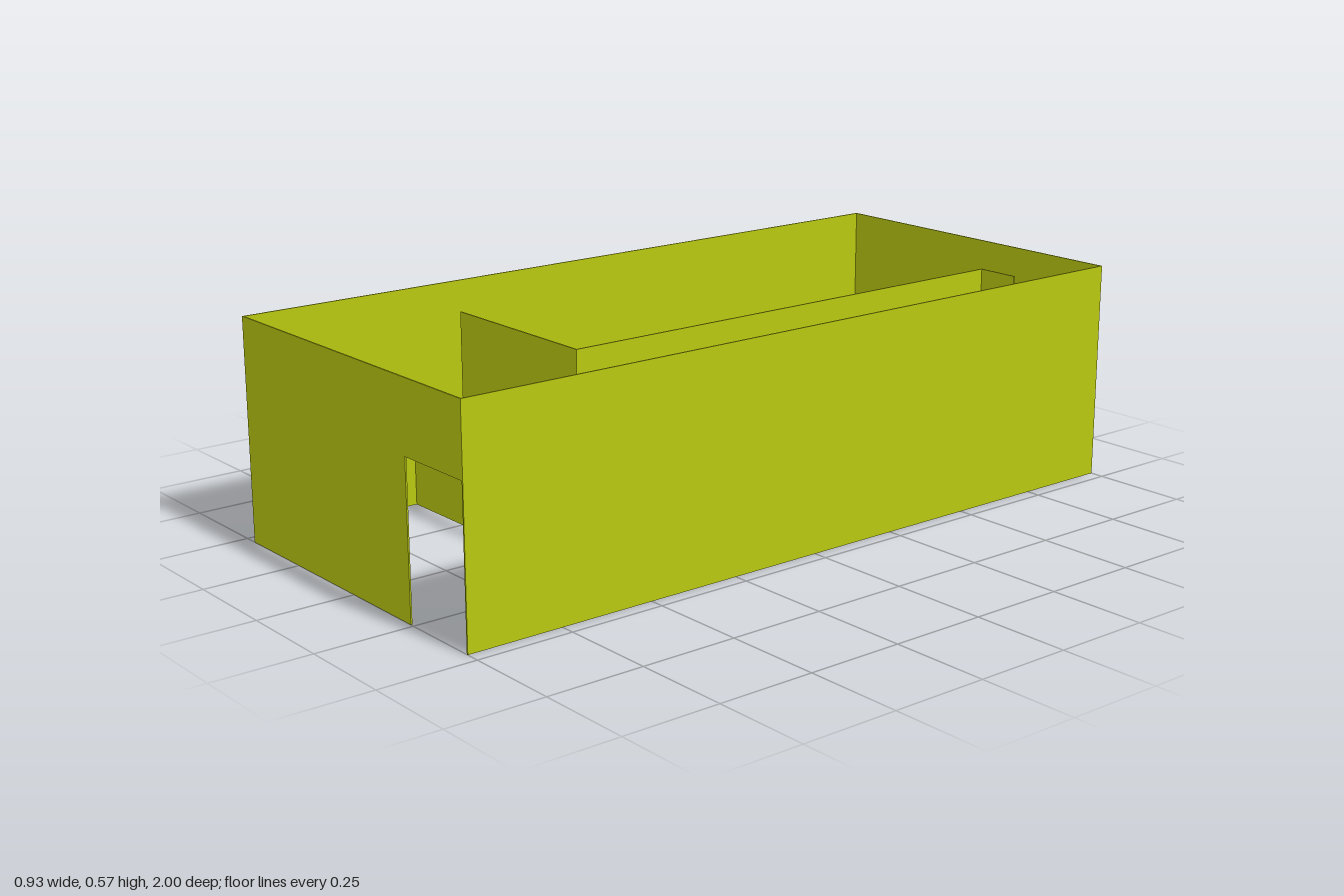
import * as THREE from 'three';

const T = 0.004;              // wall thickness
const W = 0.464;              // outer half width
const H = 0.567;              // outer wall height
const material = new THREE.MeshStandardMaterial({ color: 0xb9c810 });

export function createModel() {
  const group = new THREE.Group();

  const add = (name, geometry) => {
    const mesh = new THREE.Mesh(geometry, material);
    mesh.name = name;
    group.add(mesh);
    return mesh;
  };
  // Upright box given by its limits on each axis
  const wall = (name, x0, x1, y0, y1, z0, z1) =>
    add(name, new THREE.BoxGeometry(x1 - x0, y1 - y0, z1 - z0))
      .position.set((x0 + x1) / 2, (y0 + y1) / 2, (z0 + z1) / 2);
  // Thin walls centred on a line across (x) or along (z) the building
  const across = (name, z, x0, x1, y0, y1) => wall(name, x0, x1, y0, y1, z - T / 2, z + T / 2);
  const along = (name, x, z0, z1, y0, y1) => wall(name, x - T / 2, x + T / 2, y0, y1, z0, z1);

  // Long outer walls
  along('leftWall', W - T / 2, -1, 1, 0, H);
  along('rightWall', -W + T / 2, -1, 1, 0, H);

  // End walls, each with a doorway beside the left wall
  const inner = W - T, doorX = 0.24, doorTop = 0.388;
  const outline = new THREE.Shape([
    [-inner, 0], [doorX, 0], [doorX, doorTop], [inner, doorTop], [inner, H], [-inner, H],
  ].map(([x, y]) => new THREE.Vector2(x, y)));
  const endGeometry = new THREE.ExtrudeGeometry(outline, { depth: T, bevelEnabled: false });
  add('frontWall', endGeometry).position.z = 1 - T;
  add('backWall', endGeometry).position.z = -1;

  // Low partitions standing against the right wall
  for (const z of [-0.535, -0.072, 0.535]) across('lowPartition', z, -inner, -0.232, 0, 0.26);

  // Raised inner screen: cross panel, long panel and short return
  const y0 = 0.293, y1 = 0.55, screenX = 0.237;
  across('crossScreen', 0.535, -0.232, screenX - T / 2, y0, y1);
  along('longScreen', screenX, -0.79, 0.535 + T / 2, y0, y1);
  across('screenReturn', -0.788, screenX + T / 2, 0.352, y0, y1);

  // Panel that carries the long screen down to the ground
  along('lowerScreen', screenX, -0.535, -0.072, 0, y0);

  return group;
}
